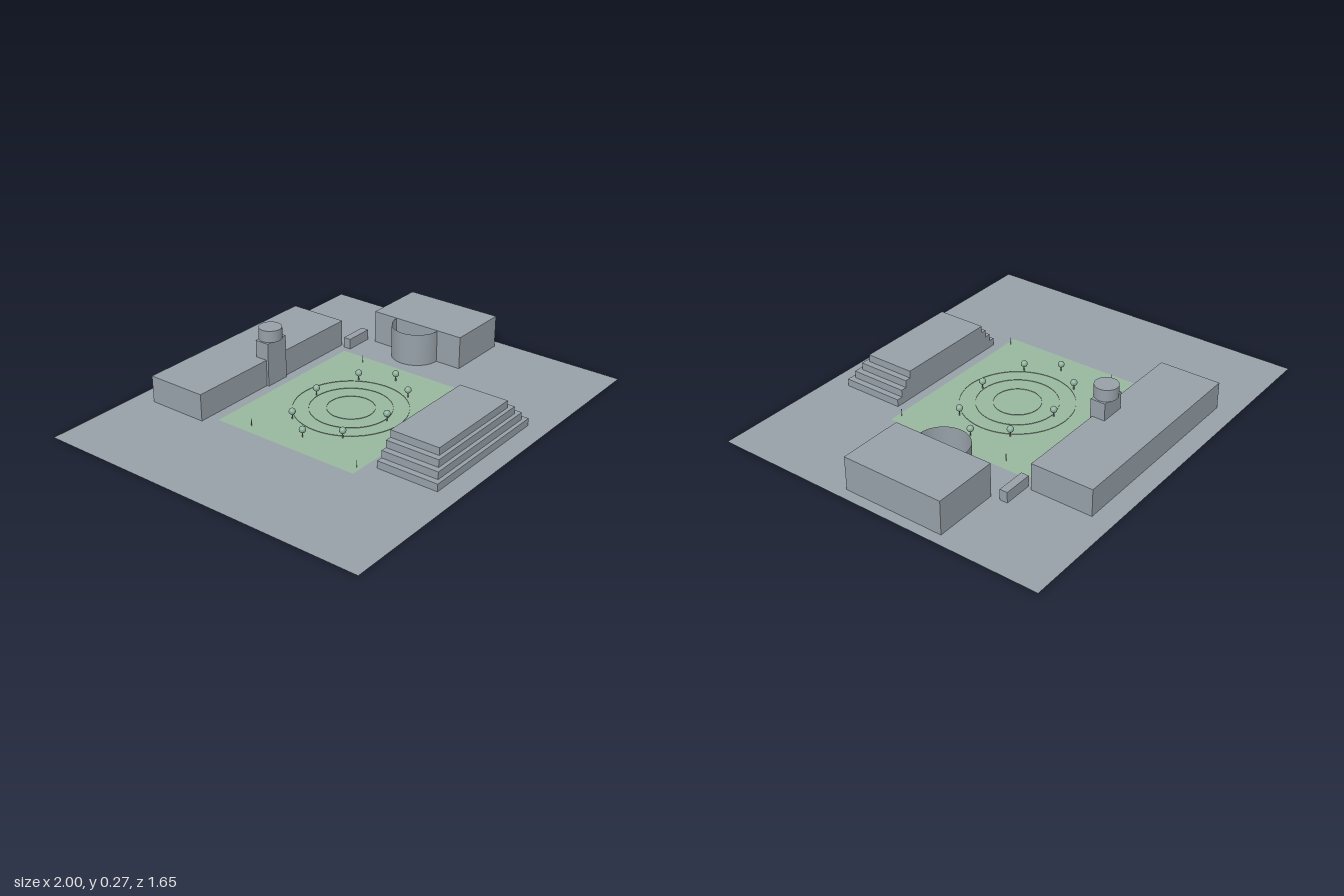
import * as THREE from 'three';

export function createModel() {
  const root = new THREE.Group();
  root.name = 'campusSquare';

  const mat = (name, color, side = THREE.FrontSide) => {
    const m = new THREE.MeshStandardMaterial({ color, side });
    m.name = name;
    return m;
  };
  const stone = mat('slateGrey', 0x97a1a9, THREE.DoubleSide);
  const grass = mat('lawnGreen', 0x99b99f);
  const leaf = mat('leafGreen', 0x8fb09c);
  const black = mat('undersideBlack', 0x050505);

  const G = 0.002; // ground level

  const add = (name, geo, material, x, y, z, parent = root) => {
    const m = new THREE.Mesh(geo, material);
    m.name = name;
    m.position.set(x, y, z);
    parent.add(m);
    return m;
  };
  // Box given by its limits on each axis
  const block = (name, [x0, x1], [y0, y1], [z0, z1]) =>
    add(name, new THREE.BoxGeometry(x1 - x0, y1 - y0, z1 - z0), stone,
      (x0 + x1) / 2, (y0 + y1) / 2, (z0 + z1) / 2);

  // Ground sheet with a black underside, and the lawn
  const sheet = (w, d, turn) => new THREE.PlaneGeometry(w, d).rotateX(turn * Math.PI / 2);
  add('ground', sheet(2, 1.654, -1), stone, 0, G, 0);
  add('groundUnderside', sheet(2, 1.654, 1), black, 0, 0, 0);
  add('lawn', sheet(0.9, 0.75, -1), grass, 0, G + 0.002, 0.002);

  // Low concentric kerbs around the middle of the lawn
  for (const r of [0.11, 0.19, 0.264]) {
    add('kerbRing', new THREE.CylinderGeometry(r, r, 0.006, 64, 1, true), stone, 0, 0.0035, 0.017);
  }

  // Oval of small trees
  for (let i = 0; i < 8; i++) {
    const a = (i * Math.PI) / 4;
    const tree = new THREE.Group();
    tree.name = 'tree';
    tree.position.set(0.34 * Math.cos(a), G, 0.017 + 0.2 * Math.sin(a));
    add('trunk', new THREE.CylinderGeometry(0.002, 0.003, 0.03, 8), stone, 0, 0.015, 0, tree);
    add('crown', new THREE.SphereGeometry(0.016, 16, 12), leaf, 0, 0.039, 0, tree);
    root.add(tree);
  }

  // Lamp posts at the lawn corners
  for (const x of [-0.4, 0.4]) {
    for (const z of [-0.223, 0.358]) {
      add('lampPost', new THREE.CylinderGeometry(0.0015, 0.0015, 0.038, 8), stone, x, G + 0.019, z);
    }
  }

  // Terraced building at the front, stepped on three sides
  for (let i = 0; i < 4; i++) {
    const w = 0.35 - 0.03 * i;
    const base = G + 0.0355 * i;
    block('terrace', [-w, w], [base, base + 0.0355], [0.425, 0.727 - 0.019 * i]);
  }

  // Long rear hall with its tower
  block('rearHall', [-0.5, 0.5], [G, 0.132], [-0.726, -0.427]);
  block('towerShaft', [-0.063, 0.063], [G, 0.216], [-0.489, -0.416]);
  add('towerDrum', new THREE.CylinderGeometry(0.055, 0.055, 0.057, 32), stone, 0, 0.2445, -0.4535);

  // Side hall with an open curved screen wall facing the lawn
  block('sideHall', [0.632, 0.948], [G, 0.164], [-0.323, 0.176]);
  add('curvedWall', new THREE.CylinderGeometry(0.12, 0.12, 0.16, 32, 1, true, Math.PI, Math.PI),
    stone, 0.632, G + 0.08, -0.074);

  // Small kiosk between the halls
  block('kiosk', [0.485, 0.63], [G, 0.054], [-0.404, -0.366]);

  return root;
}
